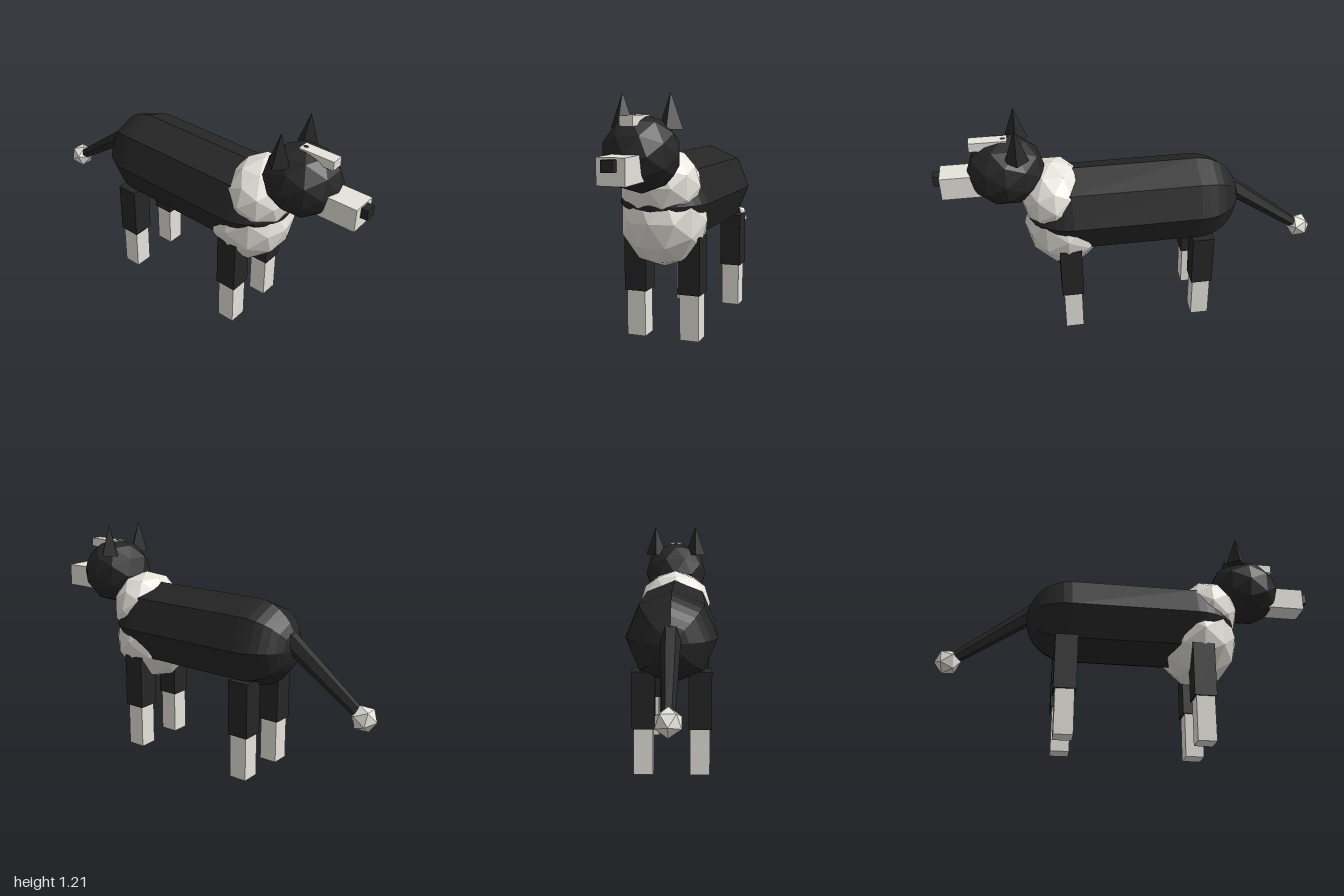
import * as THREE from 'three';

export function createModel() {
  const dog = new THREE.Group();
  dog.name = 'dog';

  const black = new THREE.MeshStandardMaterial({ color: 0x262626, flatShading: true });
  black.name = 'black fur';
  const white = new THREE.MeshStandardMaterial({ color: 0xe6e4dc, flatShading: true });
  white.name = 'white fur';

  const add = (name, geometry, material, x, y, z, parent = dog) => {
    const mesh = new THREE.Mesh(geometry, material);
    mesh.name = name;
    mesh.position.set(x, y, z);
    parent.add(mesh);
    return mesh;
  };
  const box = (w, h, d) => new THREE.BoxGeometry(w, h, d);
  // Faceted ball stretched along each axis
  const ball = (rx, ry, rz) => new THREE.IcosahedronGeometry(1, 1).scale(rx, ry, rz);

  // Body: eight-sided capsule lying along x
  const body = add('body', new THREE.CapsuleGeometry(0.228, 0.66, 8, 8), black, 0, 0.682, 0);
  body.rotation.z = Math.PI / 2;

  // White chest and neck ruff
  add('chest', ball(0.215, 0.24, 0.22), white, 0.36, 0.6, 0);
  add('neckRuff', ball(0.17, 0.188, 0.205), white, 0.415, 0.77, 0);

  // Head with snout, nose and forehead blaze
  add('head', ball(0.195, 0.18, 0.18), black, 0.64, 0.935, 0);
  add('snout', box(0.2, 0.12, 0.132), white, 0.865, 0.885, 0);
  add('nose', box(0.06, 0.052, 0.056), black, 0.97, 0.911, 0);
  add('blaze', box(0.186, 0.046, 0.062), white, 0.714, 1.088, 0);

  for (const side of [1, -1]) {
    const label = side > 0 ? 'Left' : 'Right';

    // Pointed four-sided ears
    add('ear' + label, new THREE.ConeGeometry(0.06, 0.166, 4), black, 0.58, 1.128, side * 0.118);

    // Legs: black upper part, white sock
    for (const [end, x] of [['front', 0.352], ['hind', -0.35]]) {
      const leg = new THREE.Group();
      leg.name = end + 'Leg' + label;
      leg.position.set(x, 0, side * 0.14);
      dog.add(leg);
      add('upperLeg', box(0.114, 0.288, 0.114), black, 0, 0.377, 0, leg);
      add('sock', box(0.096, 0.235, 0.097), white, 0, 0.1175, 0, leg);
    }
  }

  // Tail: tapered, sloping down to a white tip
  const tail = new THREE.Group();
  tail.name = 'tail';
  tail.position.set(-0.94, 0.414, 0);
  tail.rotation.z = -Math.atan2(0.44, 0.325);
  dog.add(tail);
  add('tailShaft', new THREE.CylinderGeometry(0.05, 0.028, 0.54, 6), black, 0, 0.27, 0, tail);
  add('tailTip', new THREE.IcosahedronGeometry(0.067, 0), white, 0, 0, 0, tail);

  return dog;
}
